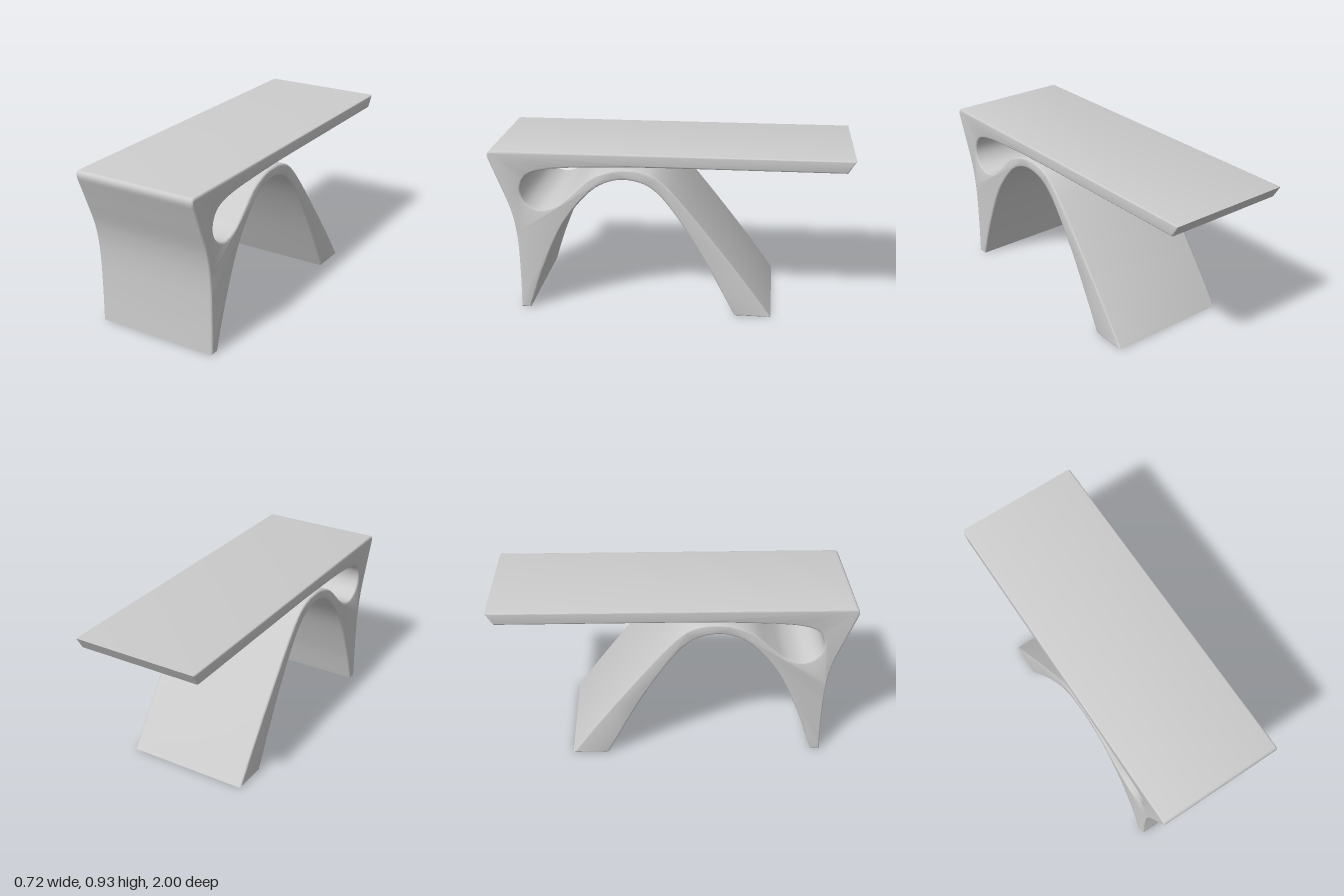
import * as THREE from 'three';
import { toCreasedNormals } from 'three/addons/utils/BufferGeometryUtils.js';

const WIDTH = 0.716;
const BEVEL = 0.01;

const points = (list) => list.map(([z, y]) => new THREE.Vector2(z, y));

// Side profile of the bench: horizontal = z, vertical = y
function benchProfile() {
  const s = new THREE.Shape();
  // seat top and rounded front corner
  s.moveTo(-1, 0.932);
  s.lineTo(0.975, 0.932);
  s.bezierCurveTo(0.995, 0.932, 1.004, 0.912, 0.993, 0.885);
  // outer face of the front leg
  s.splineThru(points([[0.94, 0.75], [0.88, 0.585], [0.853, 0.42], [0.847, 0.2], [0.85, 0]]));
  s.lineTo(0.797, 0);
  // inside of the arch
  s.splineThru(points([
    [0.72, 0.23], [0.598, 0.505], [0.464, 0.683], [0.356, 0.763], [0.233, 0.788],
    [0.1, 0.747], [-0.02, 0.618], [-0.18, 0.366], [-0.373, 0],
  ]));
  s.lineTo(-0.577, 0);
  // back of the arch, over its crown and round the open loop
  s.splineThru(points([
    [-0.464, 0.16], [-0.287, 0.395], [-0.07, 0.667], [0.045, 0.787], [0.13, 0.833],
    [0.233, 0.846], [0.33, 0.833], [0.437, 0.785], [0.544, 0.688], [0.625, 0.624],
    [0.716, 0.6], [0.79, 0.634], [0.823, 0.704], [0.8, 0.78], [0.73, 0.823],
    [0.57, 0.846], [0.25, 0.859], [0, 0.862],
  ]));
  // seat underside and slanted back edge
  s.lineTo(-0.957, 0.862);
  s.closePath();
  return s;
}

export function createModel() {
  const group = new THREE.Group();
  group.name = 'bench';
  const grey = new THREE.MeshStandardMaterial({ color: 0xcccccc });
  grey.name = 'light grey';

  // one continuous ribbon with softened side edges
  const geometry = new THREE.ExtrudeGeometry(benchProfile(), {
    depth: WIDTH - 2 * BEVEL,
    curveSegments: 6,
    bevelEnabled: true,
    bevelThickness: BEVEL,
    bevelSize: BEVEL,
    bevelOffset: -BEVEL,
    bevelSegments: 3,
  });
  geometry.translate(0, 0, -(WIDTH - 2 * BEVEL) / 2);
  geometry.rotateY(-Math.PI / 2);

  const body = new THREE.Mesh(toCreasedNormals(geometry, 0.6), grey);
  body.name = 'seatAndArchedLegs';
  group.add(body);
  return group;
}
